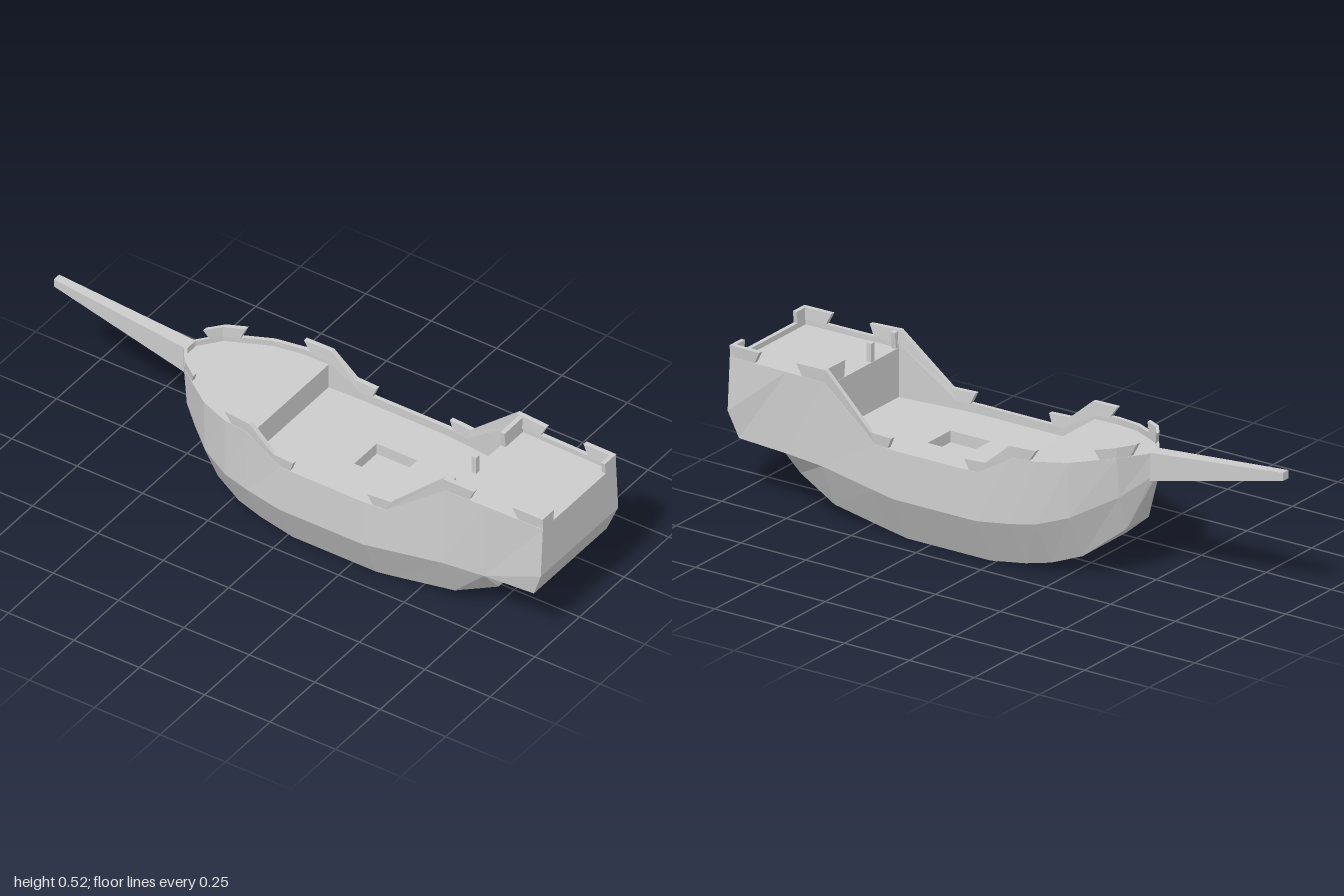
import * as THREE from 'three';

const material = new THREE.MeshStandardMaterial({ color: 0xcccccc, flatShading: true, side: THREE.DoubleSide });
const mirror = ([x, y, z]) => [x, y, -z];

// Collects flat polygons and turns them into a mesh
class Builder {
  constructor(name) { this.name = name; this.v = []; }
  face(...p) {
    for (let i = 1; i < p.length - 1; i++) this.v.push(...p[0], ...p[i], ...p[i + 1]);
  }
  both(...p) {
    this.face(...p);
    this.face(...p.map(mirror).reverse());
  }
  across(a, b) { this.face(a, mirror(a), mirror(b), b); }
  mesh() {
    const g = new THREE.BufferGeometry();
    g.setAttribute('position', new THREE.Float32BufferAttribute(this.v, 3));
    g.computeVertexNormals();
    const m = new THREE.Mesh(g, material);
    m.name = this.name;
    return m;
  }
}

// Hull stations: x, bottom y, bottom z, knuckle y, knuckle z, rim y, rim z
const stations = [
  [-0.50, 0.345, 0.012, 0.36, 0.02, 0.44, 0.02],
  [-0.43, 0.18, 0.06, 0.30, 0.105, 0.437, 0.115],
  [-0.30, 0.075, 0.12, 0.23, 0.195, 0.42, 0.2],
  [-0.20, 0.04, 0.15, 0.197, 0.23, 0.41, 0.23],
  [-0.11, 0.02, 0.16, 0.18, 0.24, 0.405, 0.236],
  [0.02, 0.002, 0.169, 0.163, 0.249, 0.325, 0.24],
  [0.34, 0.002, 0.169, 0.163, 0.249, 0.325, 0.24],
  [0.42, 0.013, 0.165, 0.173, 0.243, 0.325, 0.234],
  [0.63, 0.046, 0.156, 0.2, 0.226, 0.48, 0.212],
  [0.78, 0.11, 0.13, 0.205, 0.213, 0.48, 0.208],
];
const FORE = 4, POOP = 8, MAIN_Y = 0.295, POOP_Y = 0.462;
const rows = stations.map(([x, by, bz, ky, kz, ty, tz]) => ({
  B: [x, by, bz], K: [x, ky, kz], T: [x, ty, tz], I: [x, ty, Math.max(0.005, tz - 0.015)],
}));
const drop = (p, y) => [p[0], y, p[2]];
const foreY = (r) => r.T[1] - 0.02;

function hull() {
  const b = new Builder('hull');
  for (let i = 0; i < rows.length - 1; i++) {
    const p = rows[i], q = rows[i + 1];
    b.face(mirror(p.B), mirror(q.B), q.B, p.B);
    b.both(p.B, q.B, q.K, p.K);
    b.both(p.K, q.K, q.T, p.T);
  }
  // Overhanging stern with its hollow underside
  const { B, K, T } = rows[rows.length - 1];
  const P = [0.79, 0.15, 0.073], Q = [0.86, 0.192, 0.05];
  const E = [0.965, 0.21, 0.204], M = [1, 0.3, 0.217], S = [1, 0.48, 0.205];
  b.both(K, E, M, S, T);
  b.both(K, B, P);
  b.both(K, P, Q);
  b.both(K, Q, E);
  [B, P, Q, E, M].forEach((a, i) => b.across(a, [P, Q, E, M, S][i]));
  return b.mesh();
}

function bulwarks() {
  const b = new Builder('bulwarks');
  const end = { T: [1, 0.48, 0.205], I: [0.985, 0.48, 0.19] };
  const all = [...rows, end];
  for (let i = 0; i < all.length - 1; i++) {
    const p = all[i], q = all[i + 1];
    const level = (r) => (i < FORE ? foreY(r) : i < POOP ? MAIN_Y : POOP_Y);
    b.both(p.T, q.T, q.I, p.I);
    b.both(p.I, q.I, drop(q.I, level(q)), drop(p.I, level(p)));
  }
  b.across(end.T, end.I);
  b.across(end.I, drop(end.I, POOP_Y));
  return b.mesh();
}

function endDecks() {
  const b = new Builder('raisedDecks');
  const deck = (p, q, yp, yq) => b.face(drop(p, yp), drop(q, yq), mirror(drop(q, yq)), mirror(drop(p, yp)));
  for (let i = 0; i < FORE; i++) deck(rows[i].I, rows[i + 1].I, foreY(rows[i]), foreY(rows[i + 1]));
  deck(rows[POOP].I, rows[9].I, POOP_Y, POOP_Y);
  deck(rows[9].I, [0.985, 0, 0.19], POOP_Y, POOP_Y);
  // Bulkheads down to the main deck
  const f = rows[FORE].I, a = rows[POOP].I;
  b.across(drop(f, MAIN_Y), drop(f, foreY(rows[FORE])));
  b.across(drop(a, POOP_Y), drop(a, MAIN_Y));
  return b.mesh();
}

function mainDeck() {
  const side = rows.slice(FORE, POOP + 1).map((r) => new THREE.Vector2(r.I[0], r.I[2]));
  const outline = [...side, ...side.map((p) => new THREE.Vector2(p.x, -p.y)).reverse()];
  const shape = new THREE.Shape(outline);
  const hole = [[0.18, -0.06], [0.335, -0.06], [0.335, 0.065], [0.18, 0.065]];
  shape.holes.push(new THREE.Path(hole.map(([x, y]) => new THREE.Vector2(x, y))));
  const g = new THREE.ShapeGeometry(shape);
  g.rotateX(-Math.PI / 2);
  const m = new THREE.Mesh(g, material);
  m.position.y = MAIN_Y;
  m.name = 'mainDeck';
  return m;
}

// Open hatch sunk into the main deck
function hatch() {
  const b = new Builder('hatchWell');
  const c = [[0.18, 0.06], [0.335, 0.06], [0.335, -0.065], [0.18, -0.065]];
  const low = MAIN_Y - 0.04;
  c.forEach(([x, z], i) => {
    const [u, w] = c[(i + 1) % 4];
    b.face([x, MAIN_Y, z], [u, MAIN_Y, w], [u, low, w], [x, low, z]);
  });
  b.face(...c.map(([x, z]) => [x, low, z]));
  return b.mesh();
}

// Thick strip through pairs of bottom and top points; t is the thickness vector
function strip(name, pairs, t) {
  const b = new Builder(name);
  const add = (p) => p.map((n, i) => n + t[i]);
  const s = pairs.map(([lo, hi]) => [lo, hi, add(hi), add(lo)]);
  for (let i = 0; i < s.length - 1; i++)
    for (let k = 0; k < 4; k++) b.face(s[i][k], s[i + 1][k], s[i + 1][(k + 1) % 4], s[i][(k + 1) % 4]);
  b.face(...s[0]);
  b.face(...s[s.length - 1].slice().reverse());
  return b.mesh();
}

function rimZ(x) {
  const pts = [...rows.map((r) => r.T), [1, 0.48, 0.205]];
  const i = Math.max(1, pts.findIndex((p) => p[0] >= x));
  const [a, c] = [pts[i - 1], pts[i]];
  return a[2] + (c[2] - a[2]) * (x - a[0]) / (c[0] - a[0]);
}

// Rail caps: bottom x, bottom y, top x, top y along the rim
const caps = {
  bowRail: [[-0.455, 0.435, -0.47, 0.477], [-0.43, 0.435, -0.43, 0.473], [-0.385, 0.428, -0.37, 0.465]],
  foreRail: [[-0.17, 0.405, -0.2, 0.447], [-0.11, 0.4, -0.1, 0.443], [0.01, 0.325, -0.01, 0.366], [0.055, 0.325, 0.07, 0.362]],
  aftRail: [[0.37, 0.325, 0.352, 0.363], [0.42, 0.325, 0.44, 0.363], [0.625, 0.476, 0.625, 0.524], [0.72, 0.48, 0.74, 0.52]],
  sternRail: [[0.905, 0.48, 0.885, 0.52], [1, 0.48, 1, 0.52]],
};

export function createModel() {
  const ship = new THREE.Group();
  ship.name = 'ship';
  ship.add(hull(), bulwarks(), endDecks(), mainDeck(), hatch());

  for (const s of [1, -1]) {
    const side = s > 0 ? 'left' : 'right';
    for (const [name, pts] of Object.entries(caps)) {
      const pairs = pts.map(([bx, by, tx, ty]) => [[bx, by, s * (rimZ(bx) - 0.002)], [tx, ty, s * (rimZ(tx) + 0.001)]]);
      ship.add(strip(`${name}_${side}`, pairs, [0, 0, -s * 0.017]));
    }
    // Corner returns at the stern and at the break of the poop
    ship.add(strip(`sternCorner_${side}`, [[[1, 0.48, s * 0.204], [1, 0.52, s * 0.205]],
      [[1, 0.48, s * 0.147], [1, 0.52, s * 0.142]]], [-0.015, 0, 0]));
    const reach = s > 0 ? 0.178 : 0.094;
    ship.add(strip(`poopCorner_${side}`, [[[0.632, 0.46, s * 0.205], [0.632, 0.52, s * 0.205]],
      [[0.632, 0.46, s * (reach + 0.007)], [0.632, 0.518, s * reach]]], [0.017, 0, 0]));
  }

  // Small post at the front of the poop deck
  const post = new THREE.Mesh(new THREE.BoxGeometry(0.018, 0.065, 0.018), material);
  post.position.set(0.641, 0.4925, 0.057);
  post.name = 'post';
  ship.add(post);

  // Tapered square bowsprit
  const sprit = new Builder('bowsprit');
  const ring = (x, lo, hi, w) => [[x, lo, w], [x, hi, w], [x, hi, -w], [x, lo, -w]];
  const root = ring(-0.485, 0.343, 0.441, 0.026), tip = ring(-1, 0.46, 0.488, 0.015);
  for (let k = 0; k < 4; k++) {
    const n = (k + 1) % 4;
    sprit.face(tip[k], root[k], root[n], tip[n]);
  }
  sprit.face(...tip.slice().reverse());
  sprit.face(...root);
  ship.add(sprit.mesh());
  return ship;
}
